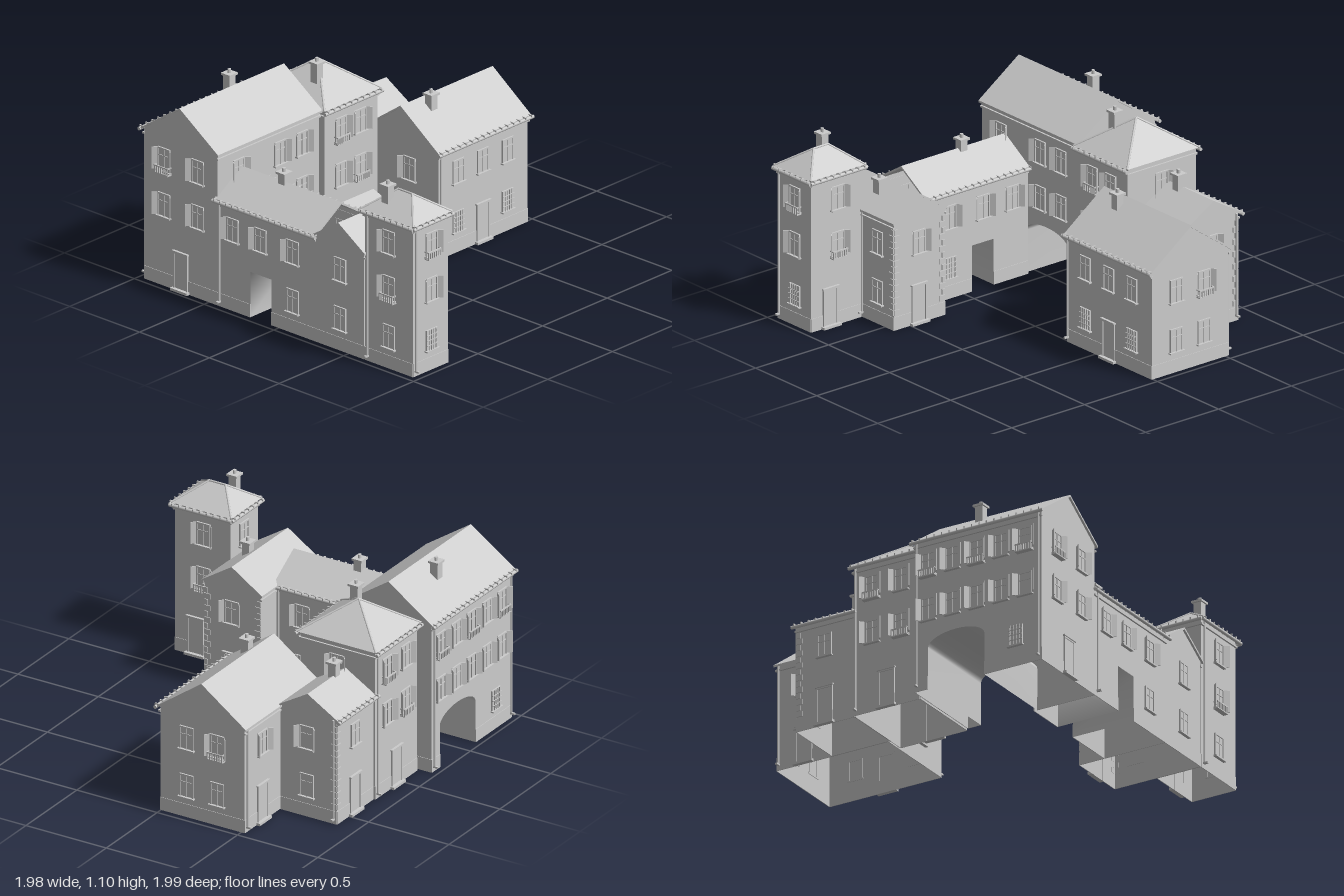
import * as THREE from 'three';

const stone = new THREE.MeshStandardMaterial({ color: 0xcccccc, side: THREE.DoubleSide });
stone.name = 'pale grey';
const unitBox = new THREE.BoxGeometry(1, 1, 1);

function mesh(parent, name, geometry, x = 0, y = 0, z = 0) {
  const m = new THREE.Mesh(geometry, stone);
  m.name = name;
  m.position.set(x, y, z);
  parent.add(m);
  return m;
}
function box(parent, name, w, h, d, x, y, z) {
  const m = mesh(parent, name, unitBox, x, y, z);
  m.scale.set(w, h, d);
  return m;
}
const shapeOf = pts => new THREE.Shape(pts.map(p => new THREE.Vector2(p[0], p[1])));

// Each facade is a turned frame: u runs rightwards along the wall, d outwards
const TURN = { front: 0, right: Math.PI / 2, back: Math.PI, left: -Math.PI / 2 };
function frame(parent, side) {
  const g = new THREE.Group();
  g.name = side + 'Facade';
  g.rotation.y = TURN[side];
  parent.add(g);
  return g;
}
function span(h, side) {
  return {
    front: [h.x0, h.x1, h.z1], back: [-h.x1, -h.x0, -h.z0],
    right: [-h.z1, -h.z0, h.x1], left: [h.z0, h.z1, -h.x0],
  }[side];
}

// Strip swept inwards from an open profile, for the passage linings
function lining(parent, name, pts, d0, d1) {
  const pos = [], idx = [];
  pts.forEach(([u, y], i) => {
    pos.push(u, y, d0, u, y, d1);
    if (i) idx.push(2 * i - 2, 2 * i - 1, 2 * i, 2 * i - 1, 2 * i + 1, 2 * i);
  });
  const g = new THREE.BufferGeometry();
  g.setAttribute('position', new THREE.Float32BufferAttribute(pos, 3));
  g.setIndex(idx);
  g.computeVertexNormals();
  mesh(parent, name, g);
}
function archPoints(c, r, spring, rise) {
  const pts = [[c - r, 0]];
  for (let i = 0; i <= 16; i++) {
    const a = Math.PI * (1 - i / 16);
    pts.push([c + r * Math.cos(a), spring + rise * Math.sin(a)]);
  }
  pts.push([c + r, 0]);
  return pts;
}

// Window or door on a facade: w plain, s shutters, b balcony, g grille, d door
function opening(f, u, y, d, type) {
  const g = new THREE.Group();
  g.name = type === 'd' ? 'door' : 'window';
  g.position.set(u, y, d);
  f.add(g);
  const w = type === 'd' ? 0.1 : 0.085, h = type === 'd' ? 0.22 : type === 'g' ? 0.115 : 0.13;
  for (const s of [-1, 1]) box(g, 'jamb', 0.008, h, 0.012, s * (w / 2 - 0.004), h / 2, 0.003);
  box(g, 'lintel', w, 0.008, 0.012, 0, h - 0.004, 0.003);
  box(g, 'panel', w, h, 0.004, 0, h / 2, 0.002);
  if (type === 'd') {
    box(g, 'step', w + 0.02, 0.014, 0.025, 0, 0.007, 0.012);
    box(g, 'doorHood', w + 0.012, 0.008, 0.018, 0, h + 0.004, 0.006);
    return;
  }
  box(g, 'sill', w + 0.014, 0.008, 0.022, 0, -0.004, 0.008);
  box(g, 'mullion', 0.006, h, 0.008, 0, h / 2, 0.004);
  box(g, 'transom', w, 0.005, 0.008, 0, h * 0.65, 0.004);
  if (type === 's' || type === 'b') {
    for (const s of [-1, 1]) {
      const m = box(g, 'shutter', 0.036, h - 0.004, 0.004, s * (w / 2 + 0.011), h / 2, 0.016);
      m.rotation.y = -s * 0.85;
    }
  }
  if (type === 'b') {
    box(g, 'balconyFloor', 0.1, 0.006, 0.03, 0, -0.012, 0.015);
    box(g, 'balconyRail', 0.1, 0.007, 0.006, 0, 0.028, 0.027);
    for (const s of [-1, 1]) box(g, 'balconySide', 0.005, 0.007, 0.03, s * 0.047, 0.028, 0.015);
    for (let i = 0; i < 7; i++) box(g, 'baluster', 0.007, 0.038, 0.006, -0.045 + i * 0.015, 0.008, 0.027);
  }
  if (type === 'g') {
    for (let i = 1; i < 5; i++) box(g, 'grilleBar', 0.004, h, 0.005, -w / 2 + i * w / 5, h / 2, 0.012);
    for (let i = 1; i < 4; i++) box(g, 'grilleCrossbar', w, 0.004, 0.005, 0, i * h / 4, 0.012);
  }
}

// Gutter with brackets along one eave
const pipe = new THREE.CylinderGeometry(1, 1, 1, 8);
function gutter(f, u0, u1, d, y) {
  const m = mesh(f, 'gutter', pipe, (u0 + u1) / 2, y - 0.008, d + 0.022);
  m.scale.set(0.01, u1 - u0 + 0.04, 0.01);
  m.rotation.z = Math.PI / 2;
  const n = Math.round((u1 - u0) / 0.045);
  for (let i = 0; i <= n; i++) box(f, 'gutterBracket', 0.007, 0.012, 0.034, u0 + (u1 - u0) * i / n, y + 0.002, d + 0.016);
}
function downpipe(f, u, d, y) {
  const m = mesh(f, 'downpipe', pipe, u, y / 2 + 0.015, d + 0.009);
  m.scale.set(0.006, y - 0.03, 0.006);
  box(f, 'pipeFoot', 0.012, 0.01, 0.028, u, 0.03, d + 0.016);
}

function hipRoof(parent, h) {
  const o = 0.016, a = h.x0 - o, b = h.x1 + o, c = h.z0 - o, e = h.z1 + o, y = h.eave + 0.006;
  const [r0, r1] = h.hip, x = (a + b) / 2, t = h.ridge;
  const A = [a, y, e], B = [b, y, e], C = [b, y, c], D = [a, y, c], P = [x, t, r1], Q = [x, t, r0];
  const tris = [A, B, P, B, C, Q, B, Q, P, C, D, Q, D, A, P, D, P, Q, A, D, C, A, C, B];
  const g = new THREE.BufferGeometry();
  g.setAttribute('position', new THREE.Float32BufferAttribute(tris.flat(), 3));
  g.computeVertexNormals();
  mesh(parent, 'hipRoof', g);
  // Hip and ridge caps
  for (const [p, q] of [[A, P], [B, P], [C, Q], [D, Q], [P, Q]]) {
    const s = new THREE.Vector3(...p), v = new THREE.Vector3(...q).sub(s), len = v.length();
    if (len < 0.02) continue;
    const m = mesh(parent, 'ridgeCap', pipe);
    m.position.copy(s).addScaledVector(v, 0.5);
    m.quaternion.setFromUnitVectors(new THREE.Vector3(0, 1, 0), v.normalize());
    m.scale.set(0.006, len, 0.006);
  }
}

function house(root, name, h) {
  const g = new THREE.Group();
  g.name = name;
  root.add(g);
  for (const side of Object.keys(TURN)) {
    if (h.skip && h.skip.includes(side)) continue;
    const f = frame(g, side), [u0, u1, d] = span(h, side), e = h.eave;
    const cut = (h.cuts && h.cuts[side]) || [];
    const gable = !h.hip && (h.axis === 'x') === (side === 'right' || side === 'left');
    const top = gable ? [[u1, e], [(u0 + u1) / 2, h.ridge - 0.012], [u0, e]] : [[u1, e], [u0, e]];
    mesh(f, 'wall', new THREE.ShapeGeometry(shapeOf([[u0, 0], ...cut, [u1, 0], ...top])), 0, 0, d);
    // Plinth on either side of any passage
    const stops = cut.length ? [[u0, cut[0][0]], [cut[cut.length - 1][0], u1]] : [[u0, u1]];
    for (const [a, b] of stops) box(f, 'plinth', b - a, 0.075, 0.004, (a + b) / 2, 0.0375, d + 0.001);
    if (!gable) box(f, 'cornice', u1 - u0 + 0.012, 0.01, 0.012, (u0 + u1) / 2, e - 0.03, d + 0.004);
    if (h.gutters && h.gutters.includes(side)) gutter(f, u0, u1, d, e);
    for (const [u, y, type] of (h.openings && h.openings[side]) || []) opening(f, u, y, d, type);
    for (const u of (h.pipes && h.pipes[side]) || []) downpipe(f, u, d, e);
    // Alternating corner stones
    for (const [u, s] of (h.quoins && h.quoins[side]) || [])
      for (let i = 0; i < 14; i++) {
        const w = i % 2 ? 0.022 : 0.036;
        box(f, 'quoin', w, 0.03, 0.006, u + s * w / 2, 0.1 + i * 0.035, d + 0.002);
      }
  }
  if (h.hip) return hipRoof(g, h);
  const side = h.axis === 'x' ? 'right' : 'front', f = frame(g, side), [u0, u1, d1] = span(h, side);
  const d0 = h.axis === 'x' ? h.x0 : h.z0, o = 0.014, m = (u0 + u1) / 2, t = 0.012;
  const low = h.eave - o * (h.ridge - h.eave) / (m - u0);
  const chevron = shapeOf([[u0 - o, low], [u0 - o, low + t], [m, h.ridge], [u1 + o, low + t], [u1 + o, low], [m, h.ridge - t]]);
  mesh(f, 'gableRoof', new THREE.ExtrudeGeometry(chevron, { depth: d1 - d0 + 0.026, bevelEnabled: false }), 0, 0, d0 - 0.013);
}

export function createModel() {
  const root = new THREE.Group();
  root.name = 'courtyardHouses';
  const L = 0.12, M = 0.4, H = 0.66; // floor sill heights
  house(root, 'tower', { x0: -0.96, x1: -0.69, z0: 0.615, z1: 0.96, eave: 0.86, ridge: 0.97, hip: [0.73, 0.83],
    gutters: ['front', 'back', 'left', 'right'], pipes: { left: [0.64], front: [-0.945] },
    openings: { front: [[-0.82, H, 'b'], [-0.82, M, 's'], [-0.82, L, 'g']],
      right: [[-0.78, H, 's'], [-0.78, M, 'b'], [-0.83, 0, 'd']],
      left: [[0.79, H, 's'], [0.79, M, 'b'], [0.79, L, 'w']], back: [[0.82, H, 'w']] } });
  house(root, 'frontHouse', { x0: -0.96, x1: -0.43, z0: 0.26, z1: 0.61, eave: 0.61, ridge: 0.735, axis: 'x',
    quoins: { front: [[-0.43, -1]], right: [[-0.61, 1], [-0.26, -1]] }, pipes: { front: [-0.68] },
    openings: { front: [[-0.56, M, 'w'], [-0.56, L, 'w']], right: [[-0.44, M, 's'], [-0.44, 0, 'd']],
      left: [[0.44, M, 'w'], [0.44, L, 'w']] } });

  // Link wing with a square passage
  const gate = s => [[s - 0.075, 0], [s - 0.075, 0.26], [s + 0.075, 0.26], [s + 0.075, 0]];
  house(root, 'linkWing', { x0: -0.96, x1: -0.585, z0: -0.44, z1: 0.26, eave: 0.61, ridge: 0.74, axis: 'z',
    skip: ['front', 'back'], gutters: ['left', 'right'], cuts: { right: gate(0.13), left: gate(-0.13) },
    pipes: { right: [-0.245], left: [-0.42] },
    openings: { right: [[-0.1, L, 'g'], [-0.1, M, 's'], [0.13, M, 's'], [0.33, M, 's']],
      left: [[-0.33, M, 's'], [-0.13, M, 's'], [0.1, M, 's'], [0.1, L, 'w']] } });
  lining(frame(root, 'right'), 'passageLining', gate(0.13), -0.96, -0.585);

  // Main house with an arched carriageway
  const arch = c => archPoints(c, 0.175, 0.24, 0.07);
  house(root, 'mainHouse', { x0: -0.96, x1: -0.175, z0: -0.965, z1: -0.44, eave: 0.865, ridge: 1.055, axis: 'x',
    gutters: ['back'], cuts: { front: arch(-0.43), back: arch(0.43) }, pipes: { back: [0.945, 0.19] },
    openings: { front: [[-0.8, H, 's'], [-0.48, H, 's'], [-0.31, H, 's'], [-0.31, M, 's'], [-0.48, M, 's']],
      back: [0.26, 0.41, 0.56, 0.71, 0.86].flatMap((u, i) => [[u, H, i % 2 ? 's' : 'b'], [u, M, 's']]).concat([[0.8, L, 'g']]),
      left: [[-0.82, H, 'b'], [-0.58, H, 's'], [-0.82, M, 's'], [-0.58, M, 's'], [-0.7, 0, 'd']] } });
  lining(frame(root, 'front'), 'archLining', arch(-0.43), -0.965, -0.44);

  house(root, 'centreHouse', { x0: -0.155, x1: 0.255, z0: -0.885, z1: -0.42, eave: 0.86, ridge: 1.03, hip: [-0.655, -0.65],
    gutters: ['front', 'back'], pipes: { back: [-0.24] },
    openings: { front: [[-0.03, H, 'b'], [0.12, H, 's'], [-0.03, M, 's'], [0.12, M, 'b'], [0.05, 0, 'd']],
      back: [[-0.14, H, 'b'], [0.04, H, 's'], [-0.14, M, 's'], [0.04, M, 'b'], [-0.05, 0, 'd']],
      right: [[0.65, H, 's']] } });
  house(root, 'backHouse', { x0: 0.255, x1: 0.615, z0: -0.875, z1: -0.525, eave: 0.61, ridge: 0.725, axis: 'x',
    gutters: ['back'], quoins: { back: [[-0.615, 1]], right: [[0.875, -1]] }, pipes: { right: [0.86] },
    openings: { back: [[-0.44, M, 'w'], [-0.44, 0, 'd']], right: [[0.69, M, 's'], [0.69, L, 'w']] } });
  house(root, 'eastHouse', { x0: 0.27, x1: 0.96, z0: -0.52, z1: 0.005, eave: 0.61, ridge: 0.81, axis: 'x',
    gutters: ['front'], pipes: { front: [0.28], back: [-0.945] },
    openings: { front: [[0.42, M, 'w'], [0.61, M, 'w'], [0.8, M, 'w'], [0.42, L, 'g'], [0.61, 0, 'd'], [0.8, L, 'g']],
      right: [[0.16, M, 'w'], [0.35, M, 'b'], [0.16, L, 'w'], [0.35, L, 'w']],
      back: [[-0.79, M, 's'], [-0.79, 0, 'd']], left: [[-0.2, M, 's'], [-0.2, L, 'w']] } });

  // Chimneys: x, z, top, shaft foot
  for (const [x, z, top, foot] of [[-0.48, -0.8, 1.095, 0.95], [0.35, -0.69, 0.82, 0.68], [-0.04, -0.58, 1.085, 0.93],
    [0.435, -0.2, 0.865, 0.72], [-0.77, -0.14, 0.815, 0.7], [-0.68, 0.5, 0.785, 0.65], [-0.89, 0.715, 1.035, 0.88]]) {
    const c = new THREE.Group();
    c.name = 'chimney';
    c.position.set(x, 0, z);
    root.add(c);
    box(c, 'chimneyShaft', 0.046, top - 0.03 - foot, 0.046, 0, (top - 0.03 + foot) / 2, 0);
    box(c, 'chimneyCap', 0.064, 0.012, 0.064, 0, top - 0.026, 0);
    mesh(c, 'chimneyPot', pipe, 0, top - 0.01, 0).scale.set(0.011, 0.022, 0.009);
  }

  // Scalloped awning over the courtyard door
  const awning = new THREE.Group();
  awning.name = 'awning';
  root.add(awning);
  box(awning, 'awningSheet', 0.36, 0.005, 0.078, 0.045, 0.28, -0.385).rotation.x = 0.36;
  const scallop = new THREE.CircleGeometry(0.01, 8, Math.PI, Math.PI);
  for (let i = 0; i < 18; i++) mesh(awning, 'scallop', scallop, -0.125 + i * 0.02, 0.264, -0.348);
  return root;
}
